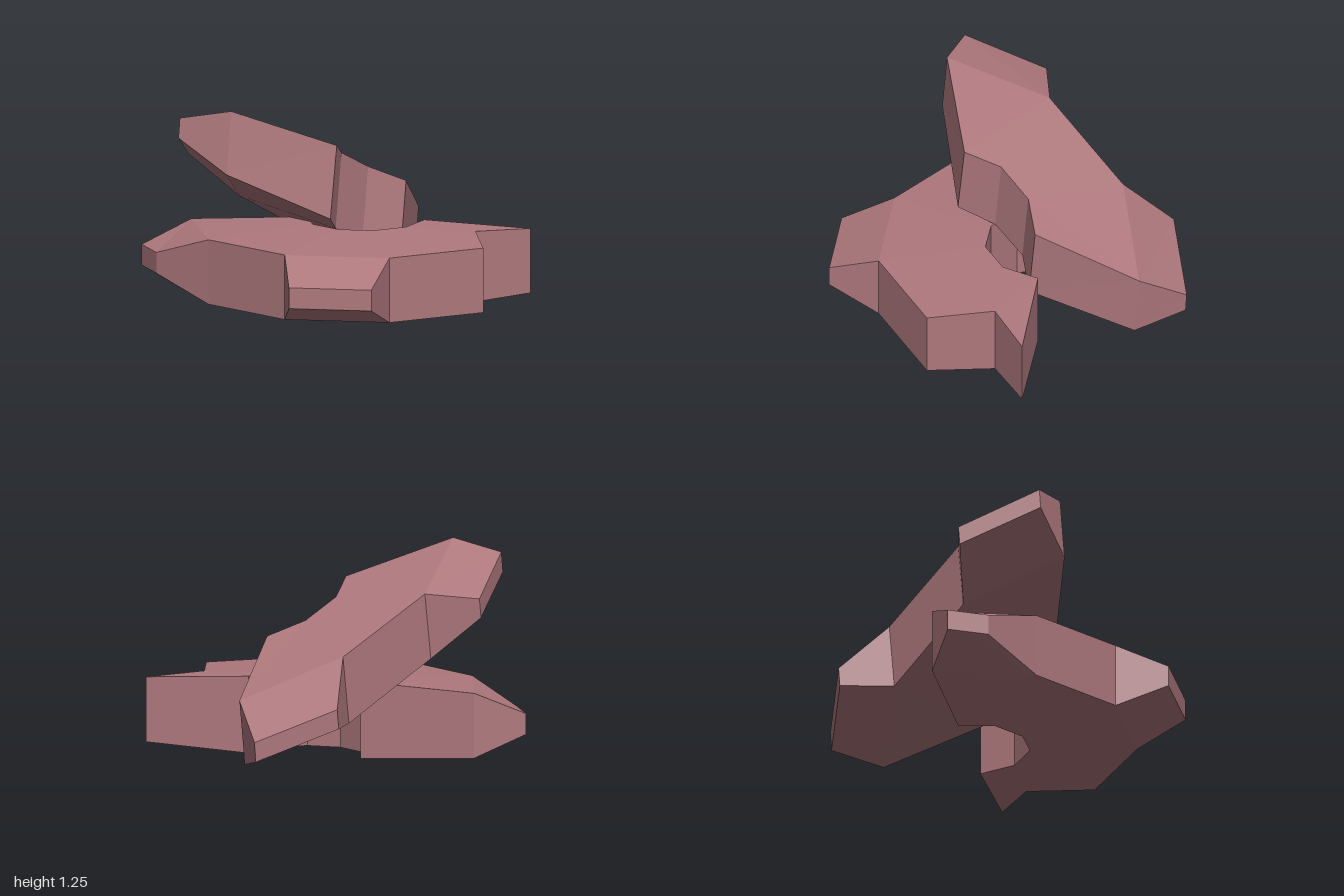
import * as THREE from 'three';

const stone = new THREE.MeshStandardMaterial({ color: 0xae787d, flatShading: true });
stone.name = 'dusty rose';

// Faceted slab. Columns run counterclockwise seen from above:
// [x, z, top y, bottom y, forward shift of the bottom corner].
// Panels are the facets of the top, repeated underneath.
function slab(name, columns, panels) {
  const top = columns.map(([x, z, y]) => [x, y, z]);
  const bottom = columns.map(([x, z, , y, shift = 0]) => [x, y, z + shift]);
  const positions = [];
  const fan = (corners) => {
    for (let i = 1; i < corners.length - 1; i++) {
      positions.push(...corners[0], ...corners[i], ...corners[i + 1]);
    }
  };
  for (const panel of panels) {
    fan(panel.map((i) => top[i]));
    fan(panel.map((i) => bottom[i]).reverse());
  }
  columns.forEach((_, i) => {
    const j = (i + 1) % columns.length;
    fan([bottom[i], bottom[j], top[j], top[i]]);
  });
  const geometry = new THREE.BufferGeometry();
  geometry.setAttribute('position', new THREE.Float32BufferAttribute(positions, 3));
  geometry.computeVertexNormals();
  const mesh = new THREE.Mesh(geometry, stone);
  mesh.name = name;
  return mesh;
}

export function createModel() {
  const model = new THREE.Group();
  model.name = 'brokenGear';

  // Lying half of the toothed ring: thick at the bore, thinner at the rim
  const rim = [0.435, 0.038], tip = [0.3, 0.172], bore = [0.47, 0];
  const ringColumns = [
    [-0.865, 0.385, ...rim], [-1, 0.675, ...tip], [-0.77, 0.785, ...tip], [-0.355, 0.76, ...rim],
    [0.285, 0.76, ...rim], [0.525, 0.97, ...tip], [0.93, 0.675, ...tip], [0.8, 0.385, ...rim],
    [1, -0.22, ...rim], [0.68, -0.48, 0.452, 0.018], [0.8, -0.83, ...rim],
    [0.28, -0.45, ...bore], [0.35, -0.22, ...bore], [0.28, -0.005, ...bore],
    [0.11, 0.115, ...bore], [-0.11, 0.115, ...bore], [-0.28, -0.03, ...bore],
  ];
  model.add(slab('lyingRingHalf', ringColumns, [
    [0, 1, 2, 3], [4, 5, 6, 7],                       // teeth
    [0, 3, 15, 16], [3, 4, 14, 15], [4, 7, 13, 14], [7, 8, 12, 13],
    [8, 9, 12], [9, 11, 12], [9, 10, 11],             // broken end
  ]));

  // Tilted fragment resting across the ring, with a tooth at each end
  const barColumns = [
    [0.214, 0.238, 1.02, 0.575, 0.055], [0.08, 0.06, 0.93, 0.47, 0.05],
    [0.08, -0.17, 0.81, 0.36, 0.05], [0.214, -0.36, 0.715, 0.26, 0.05],
    [-0.17, -0.862, 0.425, 0.03, 0.04], [-0.465, -0.973, 0.22, 0.1, 0.01],
    [-0.76, -0.572, 0.42, 0.3, 0.012], [-0.54, -0.36, 0.69, 0.28, 0.045],
    [-0.54, 0.26, 1.01, 0.61, 0.045], [-0.76, 0.505, 0.985, 0.868, 0.012],
    [-0.46, 0.9, 1.19, 1.068, 0.012], [-0.165, 0.76, 1.253, 0.868, 0.04],
  ];
  model.add(slab('tiltedFragment', barColumns, [
    [4, 5, 6, 7], [8, 9, 10, 11],                     // teeth
    [0, 1, 8, 11], [1, 2, 7, 8], [2, 3, 4, 7],
  ]));

  return model;
}
